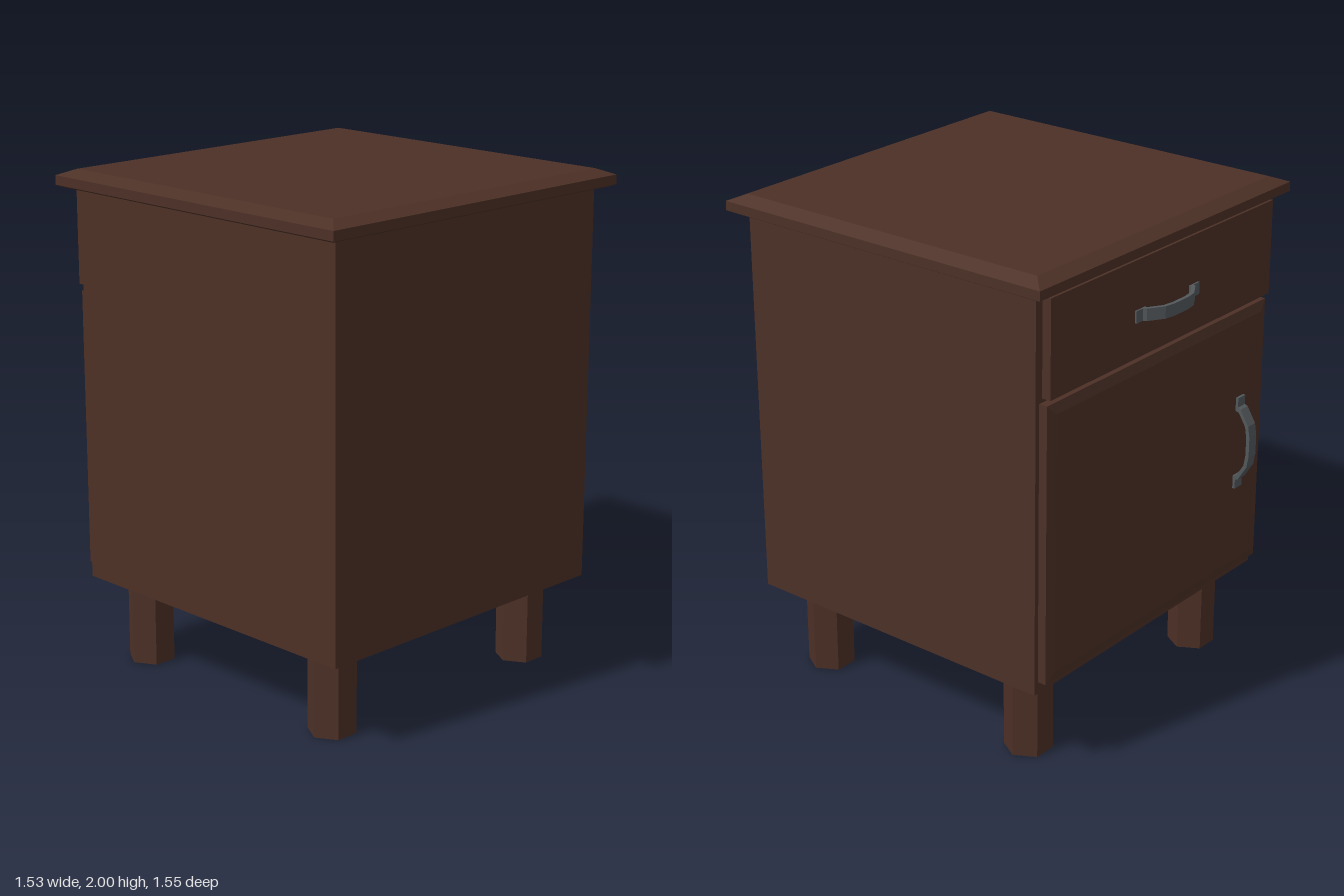
import * as THREE from 'three';

const wood = new THREE.MeshStandardMaterial({ color: 0x4c3026 });
wood.name = 'dark wood';
const metal = new THREE.MeshStandardMaterial({ color: 0x52575a });
metal.name = 'grey metal';

// Block built from stacked rectangular rings: [height, half width, half depth]
function layeredBlock(rings) {
  const loops = rings.map(([h, w, d]) => [[-w, h, d], [w, h, d], [w, h, -d], [-w, h, -d]]);
  const points = [];
  const quad = (a, b, c, d) => points.push(...a, ...b, ...c, ...a, ...c, ...d);
  for (let k = 0; k < loops.length - 1; k++) {
    for (let i = 0; i < 4; i++) {
      const j = (i + 1) % 4;
      quad(loops[k][i], loops[k][j], loops[k + 1][j], loops[k + 1][i]);
    }
  }
  const last = loops[loops.length - 1];
  quad(...last);
  quad(...[...loops[0]].reverse());
  const geometry = new THREE.BufferGeometry();
  geometry.setAttribute('position', new THREE.Float32BufferAttribute(points, 3));
  geometry.computeVertexNormals();
  return geometry;
}

// Bowed strap handle with flat end tabs, lying along x and bulging towards -z
function handleGeometry() {
  const width = 0.048;
  const outer = [[0.195, 0.717], [0.156, 0.717], [0.15, 0.73], [0.088, 0.768], [0.04, 0.776]];
  const inner = [[0.195, 0.703], [0.14, 0.703], [0.135, 0.722], [0.082, 0.754], [0.038, 0.761]];
  const across = (half) => [
    ...half.map(([u, v]) => new THREE.Vector2(-u, v)),
    ...[...half].reverse().map(([u, v]) => new THREE.Vector2(u, v)),
  ];
  const shape = new THREE.Shape([...across(outer), ...across(inner).reverse()]);
  const geometry = new THREE.ExtrudeGeometry(shape, { depth: width, bevelEnabled: false });
  return geometry.translate(0, 0, -width / 2).rotateX(-Math.PI / 2);
}

export function createModel() {
  const group = new THREE.Group();
  const add = (name, geometry, material, x, y, z) => {
    const mesh = new THREE.Mesh(geometry, material);
    mesh.name = name;
    mesh.position.set(x, y, z);
    group.add(mesh);
    return mesh;
  };

  // Cabinet carcass
  add('body', new THREE.BoxGeometry(1.4, 1.585, 1.38), wood, 0, 1.1425, 0.03);

  // Overhanging top with a bevelled rim
  add('top', layeredBlock([
    [1.93, 0.75, 0.737], [1.938, 0.765, 0.752], [1.975, 0.765, 0.752], [2, 0.705, 0.692],
  ]), wood, 0, 0, 0.023);

  // Six-sided legs
  const legGeometry = new THREE.CylinderGeometry(0.095, 0.095, 0.36, 6)
    .rotateY(Math.PI / 2).toNonIndexed();
  legGeometry.computeVertexNormals();
  for (const x of [-0.53, 0.54]) {
    for (const z of [-0.502, 0.533]) add('leg', legGeometry, wood, x, 0.18, z);
  }

  // Drawer front standing on a smaller backing, and the bevelled door
  add('drawerFront', layeredBlock([
    [0.655, 0.66, 0.17], [0.673, 0.66, 0.17], [0.673, 0.68, 0.19], [0.71, 0.68, 0.19],
  ]).rotateX(-Math.PI / 2), wood, 0, 1.73, 0);
  add('door', layeredBlock([
    [0.655, 0.68, 0.558], [0.695, 0.68, 0.558], [0.706, 0.64, 0.518],
  ]).rotateX(-Math.PI / 2), wood, 0, 0.957, 0);

  // Handles
  const handle = handleGeometry();
  add('drawerHandle', handle, metal, 0, 1.705, 0);
  add('doorHandle', handle, metal, -0.513, 0.965, 0).rotation.z = Math.PI / 2;

  return group;
}
